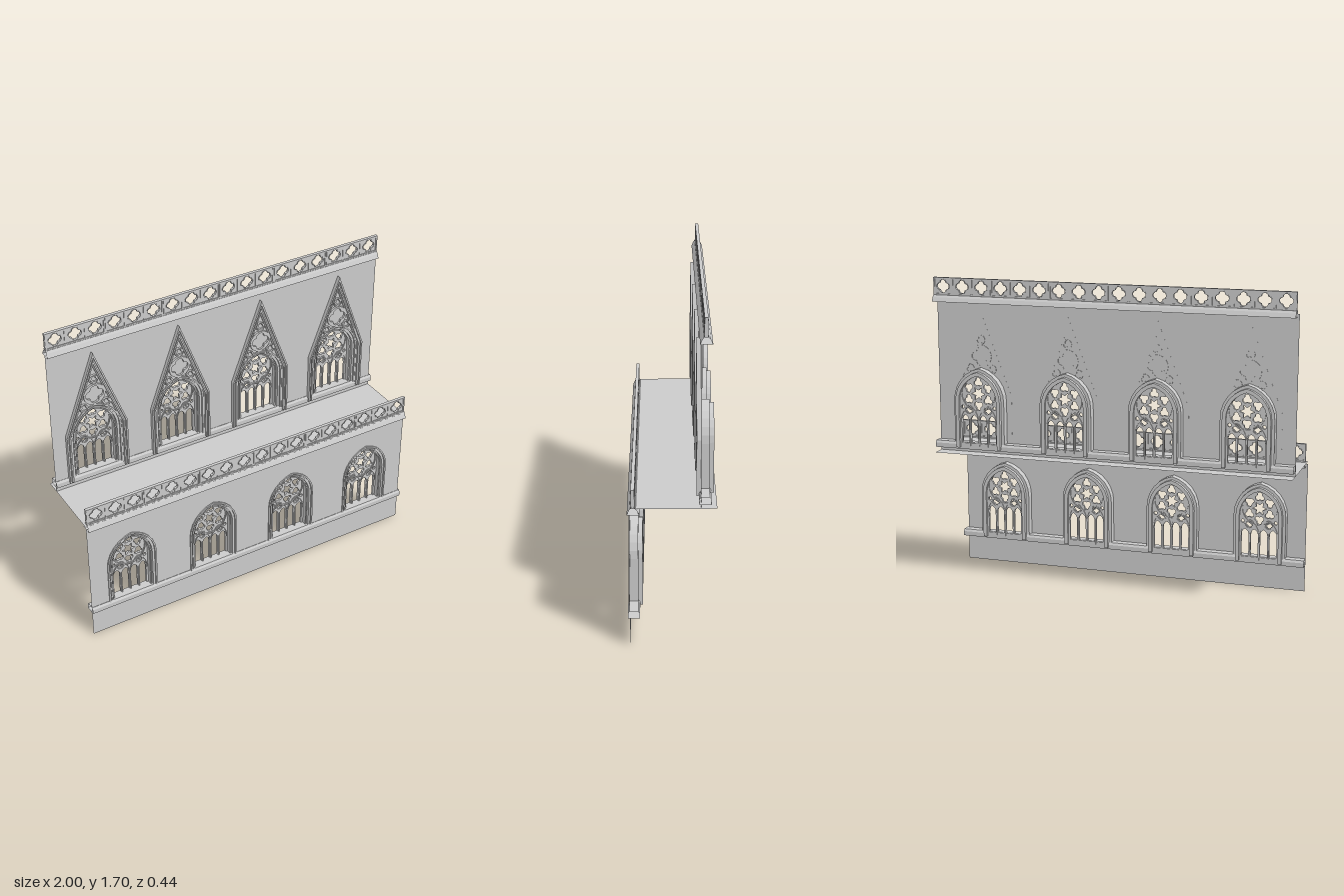
import * as THREE from 'three';
import { mergeGeometries } from 'three/addons/utils/BufferGeometryUtils.js';

const stone = new THREE.MeshStandardMaterial({ color: 0xcccccc, side: THREE.DoubleSide });
const V = (x, y) => new THREE.Vector2(x, y);

function add(group, name, geometry) {
  const mesh = new THREE.Mesh(geometry, stone);
  mesh.name = name;
  group.add(mesh);
  return mesh;
}

function shapeOf(points, holes = []) {
  const shape = new THREE.Shape(points);
  shape.holes = holes.map((h) => new THREE.Path(h));
  return shape;
}

// Flat outline with holes, thickened from z0 to z1
function slab(points, holes, z0, z1) {
  const g = new THREE.ExtrudeGeometry(shapeOf(points, holes), { depth: z1 - z0, bevelEnabled: false });
  return g.translate(0, 0, z0);
}

function box(x0, x1, y0, y1, z0, z1) {
  return new THREE.BoxGeometry(x1 - x0, y1 - y0, z1 - z0)
    .translate((x0 + x1) / 2, (y0 + y1) / 2, (z0 + z1) / 2).toNonIndexed();
}

// Two-centred pointed arch with straight legs
function arch(cx, half, base, spring, radius, n = 6) {
  const c = radius - half, top = Math.acos(c / radius), right = [];
  for (let i = 0; i <= n; i++) {
    const a = (top * i) / n;
    right.push(V(-c + radius * Math.cos(a), spring + radius * Math.sin(a)));
  }
  right.unshift(V(half, base));
  const left = right.slice(0, -1).reverse().map((p) => V(-p.x, p.y));
  return [...right, ...left].map((p) => V(p.x + cx, p.y));
}

// Window arch outline, inset by d
const windowArch = (d, base = 0.16) => arch(0, 0.145 - d, base, 0.42, 0.184 - d);

// Band between two open outlines, as an inverted U
const band = (outer, inner) => [...outer, ...inner.slice().reverse()];

// Rosette of n overlapping lobes
function foil(cx, cy, n, off, r, rot = 0, seg = 5) {
  const h = Math.PI / n, s = Math.sin(h), c = Math.cos(h), pts = [];
  const t = off * c + Math.sqrt(r * r - off * off * s * s);
  const b = Math.atan2(t * s, t * c - off);
  for (let k = 0; k < n; k++) {
    const a = rot + 2 * h * k;
    for (let i = 0; i < seg; i++) {
      const u = a - b + (2 * b * i) / seg;
      pts.push(V(cx + off * Math.cos(a) + r * Math.cos(u), cy + off * Math.sin(a) + r * Math.sin(u)));
    }
  }
  return pts;
}

function circle(cx, cy, r, n = 20) {
  return Array.from({ length: n }, (_, i) => {
    const a = (2 * Math.PI * i) / n;
    return V(cx + r * Math.cos(a), cy + r * Math.sin(a));
  });
}

// Open-ended moulding: closed [z, y] profile run along x
function moulding(profile, x0, x1) {
  const n = profile.length;
  const g = new THREE.PlaneGeometry(1, 1, 1, n);
  const p = g.attributes.position;
  for (let i = 0; i < p.count; i++) {
    const [z, y] = profile[Math.floor(i / 2) % n];
    p.setXYZ(i, i % 2 ? x1 : x0, y, z);
  }
  const flat = g.toNonIndexed();
  flat.computeVertexNormals();
  return flat;
}

// Window: stepped frame and pierced tracery
function frameGeometry() {
  const ring = (d0, d1, z0, z1) => slab(band(windowArch(d0), windowArch(d1)), [], z0, z1);
  return mergeGeometries([
    ring(0, 0.009, 0.165, 0.214),
    ring(0.009, 0.016, 0.165, 0.204),
    ring(0.016, 0.024, 0.143, 0.209),
    ring(0.024, 0.03, 0.143, 0.192),
    ring(0.03, 0.036, 0.143, 0.198),
  ]);
}

function traceryGeometry() {
  const cy = 0.462, holes = [], star = [];
  for (let k = 0; k < 6; k++) {
    const a = Math.PI / 2 + (k * Math.PI) / 3;
    holes.push(foil(0.065 * Math.cos(a), cy + 0.065 * Math.sin(a), 3, 0.0125, 0.0145, a, 4));
  }
  for (let k = 0; k < 12; k++) {
    const a = (k * Math.PI) / 6, r = k % 2 ? 0.02 : 0.04;
    star.push(V(r * Math.cos(a), cy + r * Math.sin(a)));
  }
  holes.push(star);
  for (const x of [-0.078, -0.026, 0.026, 0.078]) holes.push(arch(x, 0.0205, 0.185, 0.312, 0.034, 4));
  for (const s of [-1, 1]) {
    holes.push(foil(s * 0.054, 0.372, 4, 0.01, 0.011, 0, 4));
    holes.push(circle(s * 0.092, 0.386, 0.01, 8));
  }
  const parts = [slab(windowArch(0.034), holes, 0.157, 0.172)];
  // Raised rims on the rose, the paired arches and the mullions
  parts.push(slab(circle(0, cy, 0.1, 28), [circle(0, cy, 0.094, 28)], 0.152, 0.178));
  for (const s of [-1, 1]) {
    parts.push(slab(band(arch(s * 0.052, 0.052, 0.3, 0.312, 0.09), arch(s * 0.052, 0.048, 0.3, 0.312, 0.086)), [], 0.152, 0.178));
    parts.push(slab(circle(s * 0.054, 0.372, 0.025, 14), [circle(s * 0.054, 0.372, 0.0215, 14)], 0.152, 0.176));
  }
  for (const x of [-0.052, 0, 0.052]) parts.push(box(x - 0.003, x + 0.003, 0.17, 0.32, 0.152, 0.178));
  return mergeGeometries(parts.map((g) => { g.clearGroups(); return g; }));
}

// Steep gable hood with blind tracery, in storey coordinates
function gableGeometry() {
  const edge = (d) => {
    const sh = 0.45 - 0.18 * d, x = 0.175 - d;
    return [V(x, 0.16), V(x, sh), V(0, 0.915 - 2.84 * d), V(-x, sh), V(-x, 0.16)];
  };
  const rib = (d0, d1, z1) => slab(band(edge(d0), edge(d1)), [], 0.2065, z1);
  const disc = (x, y, r, n, off, lobe, rot) =>
    slab(circle(x, y, r), [foil(x, y, n, off, lobe, rot)], 0.204, 0.219);
  const up = Math.PI / 2;
  return mergeGeometries([
    rib(0, 0.009, 0.229), rib(0.009, 0.016, 0.219), rib(0.016, 0.024, 0.225), rib(0.024, 0.03, 0.216),
    disc(0, 0.662, 0.062, 4, 0.027, 0.025, 0),
    disc(0, 0.752, 0.026, 3, 0.01, 0.011, up),
    disc(0.064, 0.592, 0.025, 3, 0.01, 0.011, up),
    disc(-0.064, 0.592, 0.025, 3, 0.01, 0.011, up),
  ]);
}

// Pierced parapet: 6 panels of 3 quatrefoils, base at y = 0
function parapetGeometry() {
  const x0 = -0.99, x1 = 1, h = 0.095, pitch = (x1 - x0) / 18;
  const holes = [], parts = [];
  for (let i = 0; i < 18; i++) {
    const cx = x0 + pitch * (i + 0.5);
    holes.push(foil(cx, h / 2, 4, 0.018, 0.018));
    parts.push(slab(foil(cx, h / 2, 4, 0.018, 0.0215), [foil(cx, h / 2, 4, 0.018, 0.018)], 0.181, 0.197));
    const w = i % 3 === 0 ? 0.009 : 0.004, left = x0 + pitch * i;
    if (i % 3 === 0) {
      parts.push(box(left + 0.001, left + w, 0, h, 0.18, 0.198));
      parts.push(box(left + 3 * pitch - w, left + 3 * pitch - 0.001, 0, h, 0.18, 0.198));
    } else parts.push(box(left - w, left + w, 0, h, 0.181, 0.197));
  }
  parts.push(slab([V(x0, 0), V(x1, 0), V(x1, h), V(x0, h)], holes, 0.184, 0.194));
  parts.push(box(x0, x1, 0, 0.008, 0.18, 0.198), box(x0, x1, h - 0.008, h, 0.18, 0.198));
  return mergeGeometries(parts.map((g) => { g.clearGroups(); return g; }));
}

export function createModel() {
  const model = new THREE.Group();
  model.name = 'arcadeFacade';
  const frame = frameGeometry(), tracery = traceryGeometry();
  const gable = gableGeometry(), parapet = parapetGeometry();
  const centres = [0, 1, 2, 3].map((i) => -0.75 + 0.497 * i);

  // Two storeys; the upper one is set back and carries gables
  const storeys = [
    { name: 'lowerStorey', y: 0, z: 0, bottom: 0, top: 0.72, gabled: false },
    { name: 'upperStorey', y: 0.61, z: -0.35, bottom: 0.125, top: 0.97, gabled: true },
  ];
  for (const s of storeys) {
    const storey = new THREE.Group();
    storey.name = s.name;
    storey.position.set(0, s.y, s.z);
    model.add(storey);

    const openings = centres.map((c) => windowArch(0.005).map((p) => V(p.x + c, p.y)));
    const outline = [V(-1, s.bottom), V(0.99, s.bottom), V(0.99, s.top), V(-1, s.top)];
    add(storey, 'wall', new THREE.ShapeGeometry(shapeOf(outline, openings)).translate(0, 0, 0.207));

    add(storey, 'sill', moulding([[0.217, 0.15], [0.217, 0.175], [0.209, 0.187], [0.165, 0.187],
      [0.157, 0.175], [0.157, 0.15]], -1, 1));

    for (const c of centres) {
      add(storey, 'windowFrame', frame).position.x = c;
      add(storey, 'windowTracery', tracery).position.x = c;
      if (s.gabled) add(storey, 'gable', gable).position.x = c;
    }

    // Cornice and parapet crown the wall
    const t = s.gabled ? 0.99 : 0.74;
    add(storey, 'cornice', moulding([[0.2, t], [0.208, t - 0.012], [0.218, t - 0.035],
      [0.157, t - 0.035], [0.168, t - 0.012], [0.178, t]], -0.99, 1));
    add(storey, 'parapet', parapet).position.y = t;
  }

  // Walkway between the storeys
  add(model, 'walkway', new THREE.PlaneGeometry(1.99, 0.425).rotateX(-Math.PI / 2).translate(-0.005, 0.735, -0.0085));
  return model;
}
